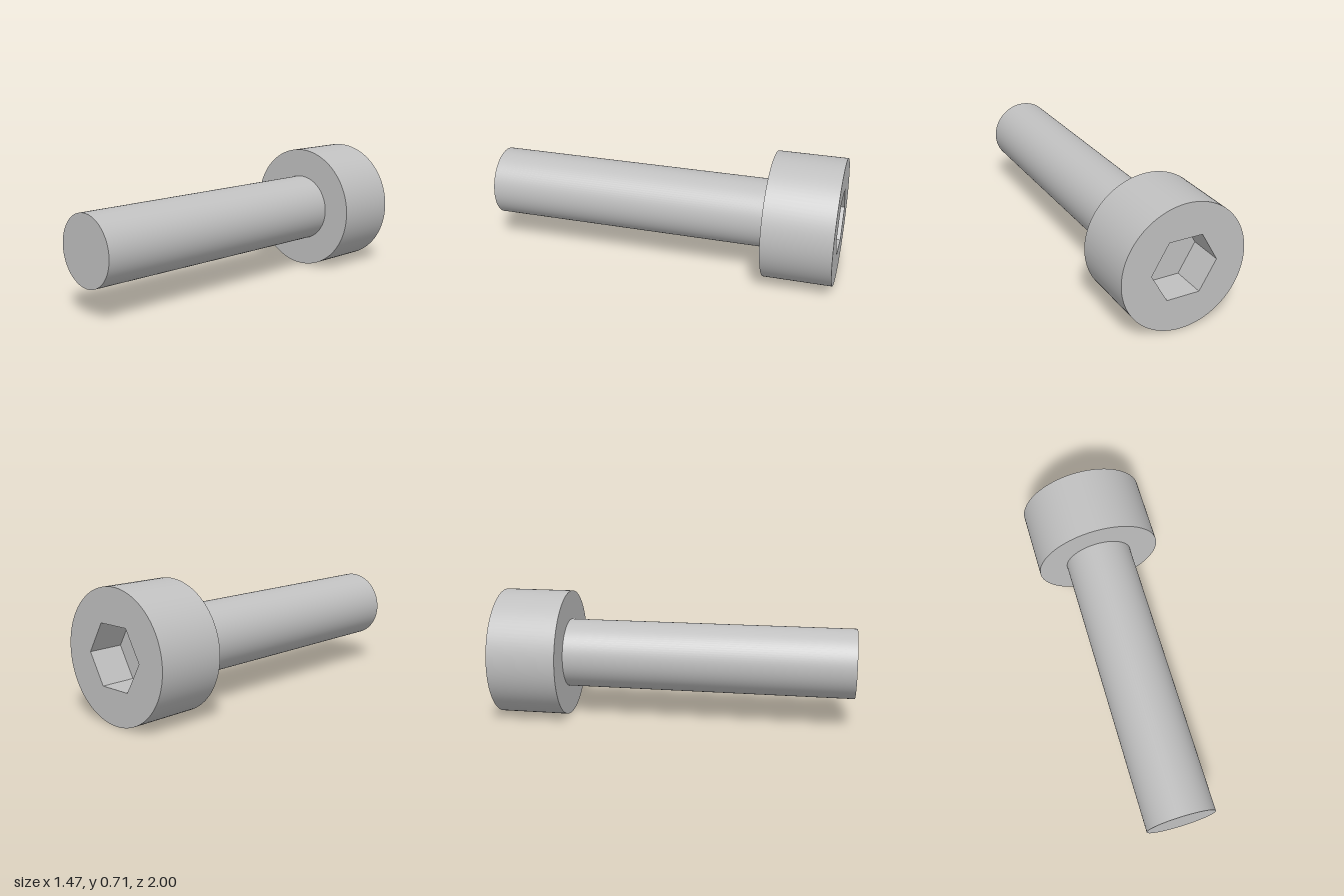
import * as THREE from 'three';

const SHANK_R = 0.1925, HEAD_R = 0.355, HEX_R = 0.188;
const LENGTH = 1.993, HEAD_H = 0.385, SOCKET_D = 0.195;
const SEGMENTS = 96;

export function createModel() {
  const steel = new THREE.MeshStandardMaterial({ color: 0xc0c0c0 });
  steel.name = 'steel grey';

  // The bolt runs along local +z, with its tip at z = 0
  const bolt = new THREE.Group();
  bolt.name = 'socketHeadBolt';
  const add = (name, geometry, z) => {
    const mesh = new THREE.Mesh(geometry, steel);
    mesh.name = name;
    mesh.position.z = z;
    bolt.add(mesh);
  };
  const headBase = LENGTH - HEAD_H;

  // Plain shank
  add('shank', new THREE.CylinderGeometry(SHANK_R, SHANK_R, headBase, SEGMENTS).rotateX(Math.PI / 2), headBase / 2);

  // Head: side wall, underside and top face with a hexagonal opening
  add('headWall', new THREE.CylinderGeometry(HEAD_R, HEAD_R, HEAD_H, SEGMENTS, 1, true).rotateX(Math.PI / 2),
    headBase + HEAD_H / 2);
  add('headUnderside', new THREE.RingGeometry(SHANK_R, HEAD_R, SEGMENTS).rotateX(Math.PI), headBase);

  const face = new THREE.Shape().absarc(0, 0, HEAD_R, 0, Math.PI * 2);
  const corners = Array.from({ length: 6 }, (_, i) => {
    const a = -i * Math.PI / 3;
    return new THREE.Vector2(HEX_R * Math.cos(a), HEX_R * Math.sin(a));
  });
  face.holes.push(new THREE.Path(corners).closePath());
  add('headFace', new THREE.ShapeGeometry(face, SEGMENTS), LENGTH);

  // Hex socket: mirrored so that the flat walls face inward
  const walls = new THREE.CylinderGeometry(HEX_R, HEX_R, SOCKET_D, 6, 1, true, Math.PI / 2)
    .rotateX(Math.PI / 2).toNonIndexed().scale(-1, 1, 1);
  walls.computeVertexNormals();
  add('socketWalls', walls, LENGTH - SOCKET_D / 2);
  add('socketFloor', new THREE.CircleGeometry(HEX_R, 6), LENGTH - SOCKET_D);

  // Lay the bolt down, turned so the head points back and to the left
  bolt.rotation.y = THREE.MathUtils.degToRad(150);
  bolt.position.set(-0.569, HEAD_R, 0.904);

  const model = new THREE.Group();
  model.name = 'bolt';
  model.add(bolt);
  return model;
}
